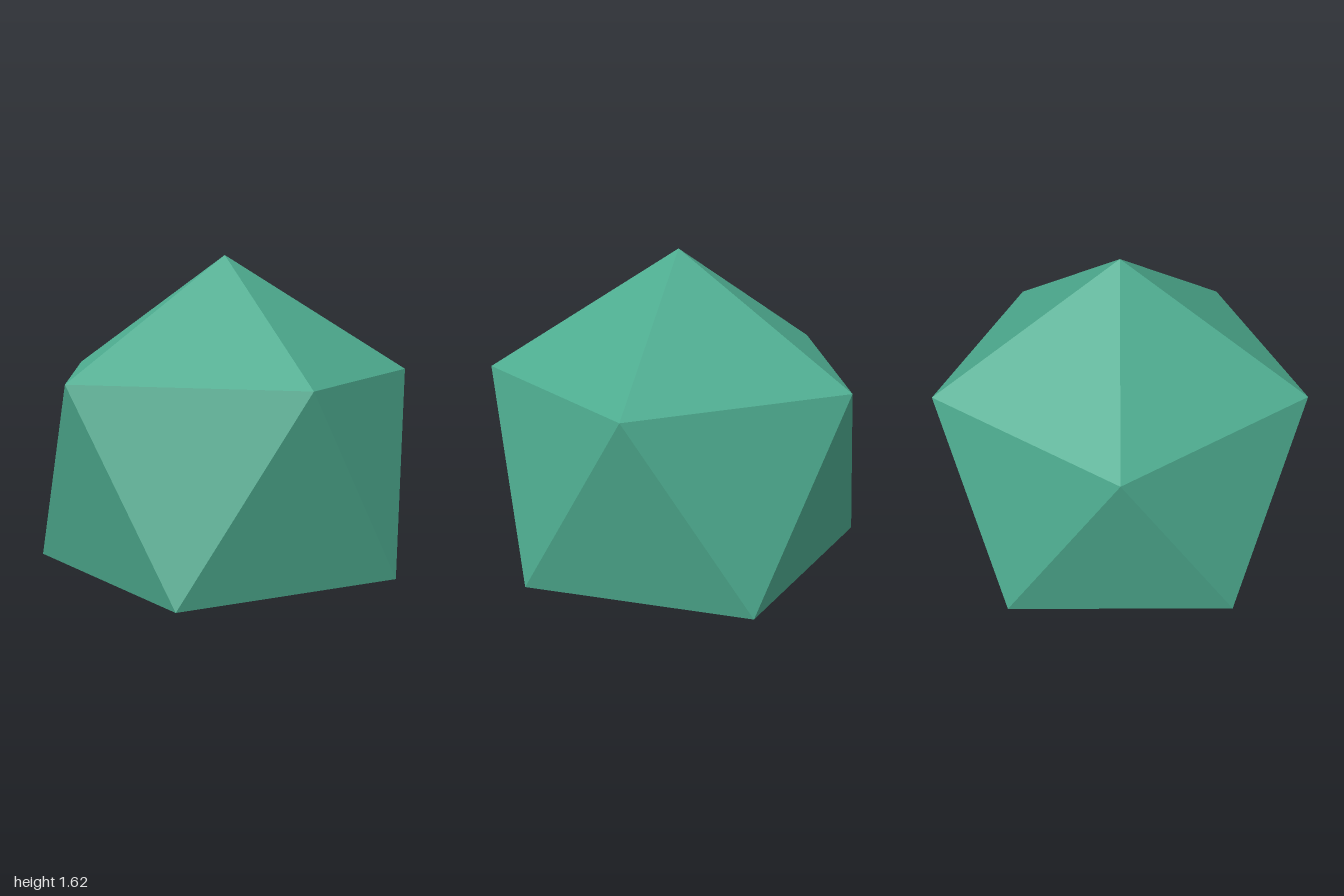
import * as THREE from 'three';

// Point on one of the two five-sided rings, counted in tenths of a turn
function ringPoint(step, y) {
  const a = (step * Math.PI) / 5;
  return new THREE.Vector3(Math.cos(a), y, Math.sin(a));
}

// Flat-shaded mesh from a list of triangle corners
function facetMesh(name, corners, material) {
  const geometry = new THREE.BufferGeometry().setFromPoints(corners);
  geometry.computeVertexNormals();
  const mesh = new THREE.Mesh(geometry, material);
  mesh.name = name;
  return mesh;
}

export function createModel() {
  const green = new THREE.MeshStandardMaterial({ color: 0x4dab8f });
  green.name = 'sea green';
  green.flatShading = true;

  const ringY = 1;
  const apex = new THREE.Vector3(0, (1 + Math.sqrt(5)) / 2, 0);
  const baseCentre = new THREE.Vector3(0, 0, 0);
  const cap = [], band = [], base = [];

  for (let i = 0; i < 5; i++) {
    const upper = ringPoint(2 * i, ringY);
    const upperNext = ringPoint(2 * i + 2, ringY);
    const lower = ringPoint(2 * i + 1, 0);
    const lowerNext = ringPoint(2 * i + 3, 0);
    cap.push(apex, upperNext, upper);
    band.push(upper, upperNext, lower, lower, upperNext, lowerNext);
    base.push(baseCentre, lower, lowerNext);
  }

  const model = new THREE.Group();
  model.name = 'gyroelongatedPentagonalPyramid';
  model.add(
    facetMesh('pyramidCap', cap, green),
    facetMesh('antiprismBand', band, green),
    facetMesh('pentagonBase', base, green)
  );
  return model;
}
